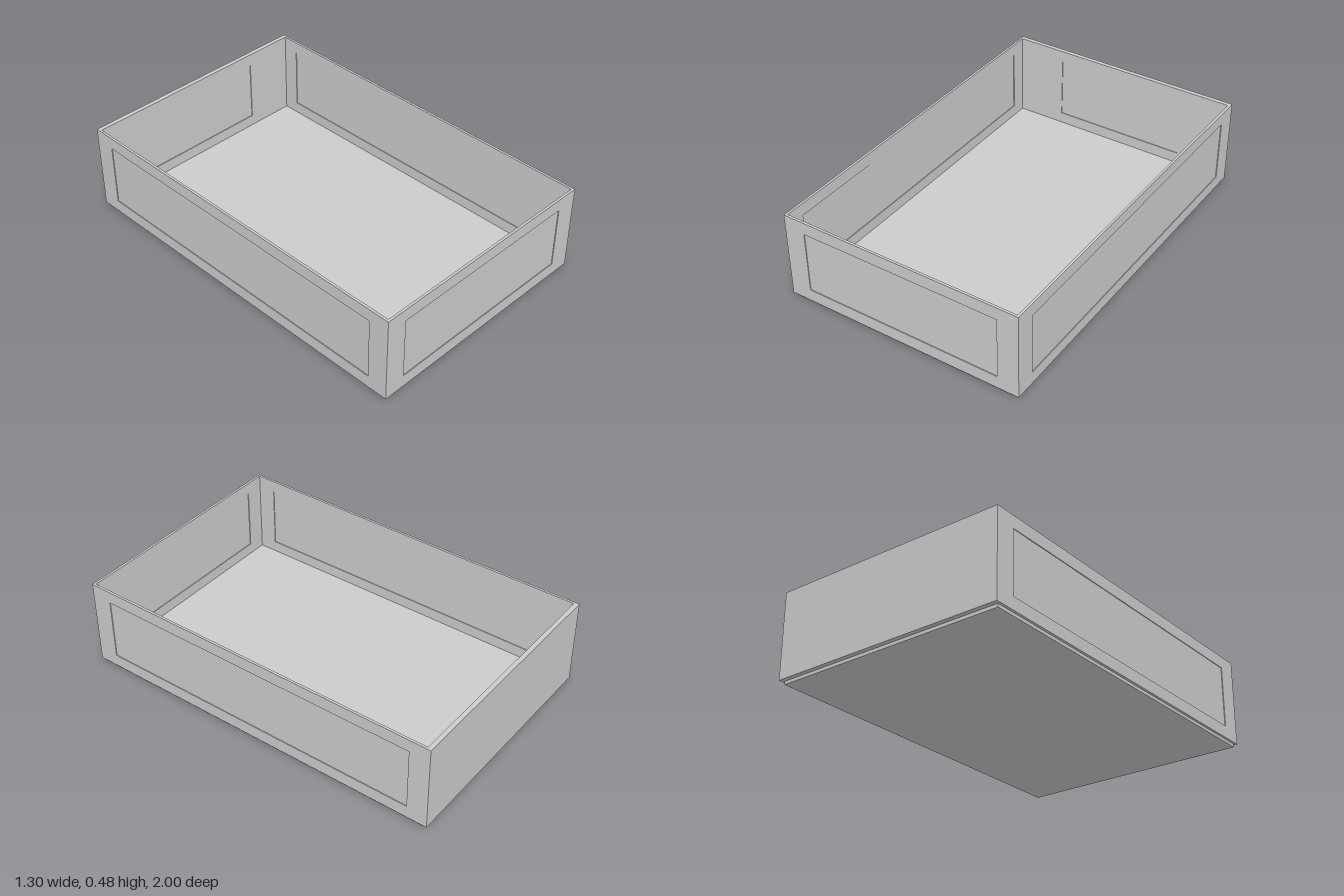
import * as THREE from 'three';

const BASE = 0.017, TOP = 0.48, HALF_W = 0.648, HALF_L = 1;
const SIDE = 0.013, FRONT = 0.013, BACK = 0.024;
const PANEL_Y0 = 0.083, PANEL_Y1 = 0.414;

const material = new THREE.MeshStandardMaterial({ color: 0xcccccc, flatShading: true });

function rectangle(PathType, halfWidth, y0, y1) {
  const path = new PathType();
  path.moveTo(-halfWidth, y0);
  path.lineTo(halfWidth, y0);
  path.lineTo(halfWidth, y1);
  path.lineTo(-halfWidth, y1);
  path.closePath();
  return path;
}

// Wall whose outer face looks along local +z at z = 0, with a sunken panel
function makeWall(name, halfLength, thickness, halfPanel, outerInset, innerInset) {
  const wall = new THREE.Group();
  wall.name = name;

  const outline = rectangle(THREE.Shape, halfLength, BASE, TOP);
  outline.holes.push(rectangle(THREE.Path, halfPanel, PANEL_Y0, PANEL_Y1));
  const frameGeometry = new THREE.ExtrudeGeometry(outline, { depth: thickness, bevelEnabled: false });
  frameGeometry.translate(0, 0, -thickness);
  const frame = new THREE.Mesh(frameGeometry, material);
  frame.name = name + 'Frame';

  const depth = thickness - outerInset - innerInset;
  const panel = new THREE.Mesh(
    new THREE.BoxGeometry(halfPanel * 2, PANEL_Y1 - PANEL_Y0, depth), material);
  panel.name = name + 'Panel';
  panel.position.set(0, (PANEL_Y0 + PANEL_Y1) / 2, -outerInset - depth / 2);

  wall.add(frame, panel);
  return wall;
}

export function createModel() {
  const model = new THREE.Group();
  model.name = 'openTray';

  // Long side walls, panelled on both faces
  for (const [name, side] of [['leftWall', 1], ['rightWall', -1]]) {
    const wall = makeWall(name, HALF_L, SIDE, 0.89, 0.004, 0.004);
    wall.rotation.y = side * Math.PI / 2;
    wall.position.x = side * HALF_W;
    model.add(wall);
  }

  // Front wall, panelled on both faces
  const front = makeWall('frontWall', HALF_W - SIDE, FRONT, 0.535, 0.004, 0.004);
  front.position.z = HALF_L;
  model.add(front);

  // Thicker back wall, plain outside with a smaller panel inside
  const back = makeWall('backWall', HALF_W - SIDE, BACK, 0.37, 0, 0.004);
  back.rotation.y = Math.PI;
  back.position.z = -HALF_L;
  model.add(back);

  // Floor slab fitted between the walls and dropping just below them
  const floorLength = 2 * HALF_L - FRONT - BACK;
  const floor = new THREE.Mesh(
    new THREE.BoxGeometry(2 * (HALF_W - SIDE), 0.022, floorLength), material);
  floor.name = 'floor';
  floor.position.set(0, 0.011, (BACK - FRONT) / 2);
  model.add(floor);

  return model;
}
